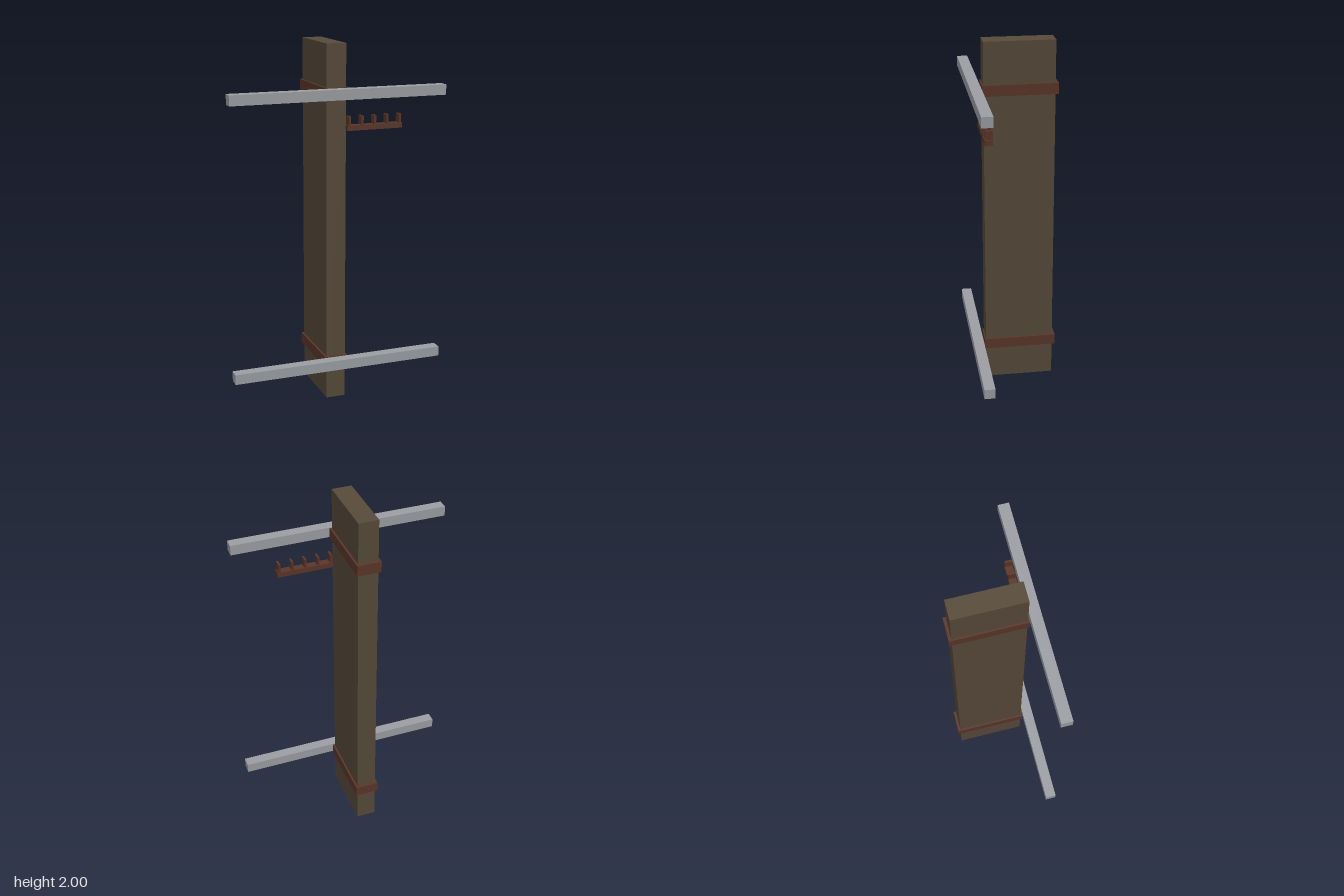
import * as THREE from 'three';

const paint = (name, color) => {
  const m = new THREE.MeshStandardMaterial({ color });
  m.name = name;
  return m;
};

export function createModel() {
  const group = new THREE.Group();
  const wood = paint('darkWood', 0x574a39);
  const strap = paint('redBrown', 0x5a3629);
  const metal = paint('greyMetal', 0x9b9ea3);

  // Box given by its minimum and maximum corners
  const block = (name, material, [x0, y0, z0], [x1, y1, z1]) => {
    const mesh = new THREE.Mesh(new THREE.BoxGeometry(x1 - x0, y1 - y0, z1 - z0), material);
    mesh.position.set((x0 + x1) / 2, (y0 + y1) / 2, (z0 + z1) / 2);
    mesh.name = name;
    group.add(mesh);
  };

  // Upright plank
  block('post', wood, [-0.055, 0, -0.224], [0.055, 2, 0.164]);

  // Strap around the plank and crossbar in front of it, low and high
  for (const [level, y] of [['lower', 0.221], ['upper', 1.738]]) {
    block(level + 'Strap', strap, [-0.066, y - 0.03, -0.24], [0.066, y + 0.03, 0.172]);
    block(level + 'Crossbar', metal, [-0.607, y - 0.028, 0.18], [0.607, y + 0.028, 0.24]);
  }

  // Side rack with five upright pegs
  block('rackRail', strap, [0.053, 1.537, 0.153], [0.368, 1.565, 0.196]);
  for (let i = 0; i < 5; i++) {
    const x = 0.066 + i * 0.0725;
    block('rackPeg', strap, [x - 0.006, 1.56, 0.153], [x + 0.006, 1.614, 0.196]);
  }
  return group;
}
